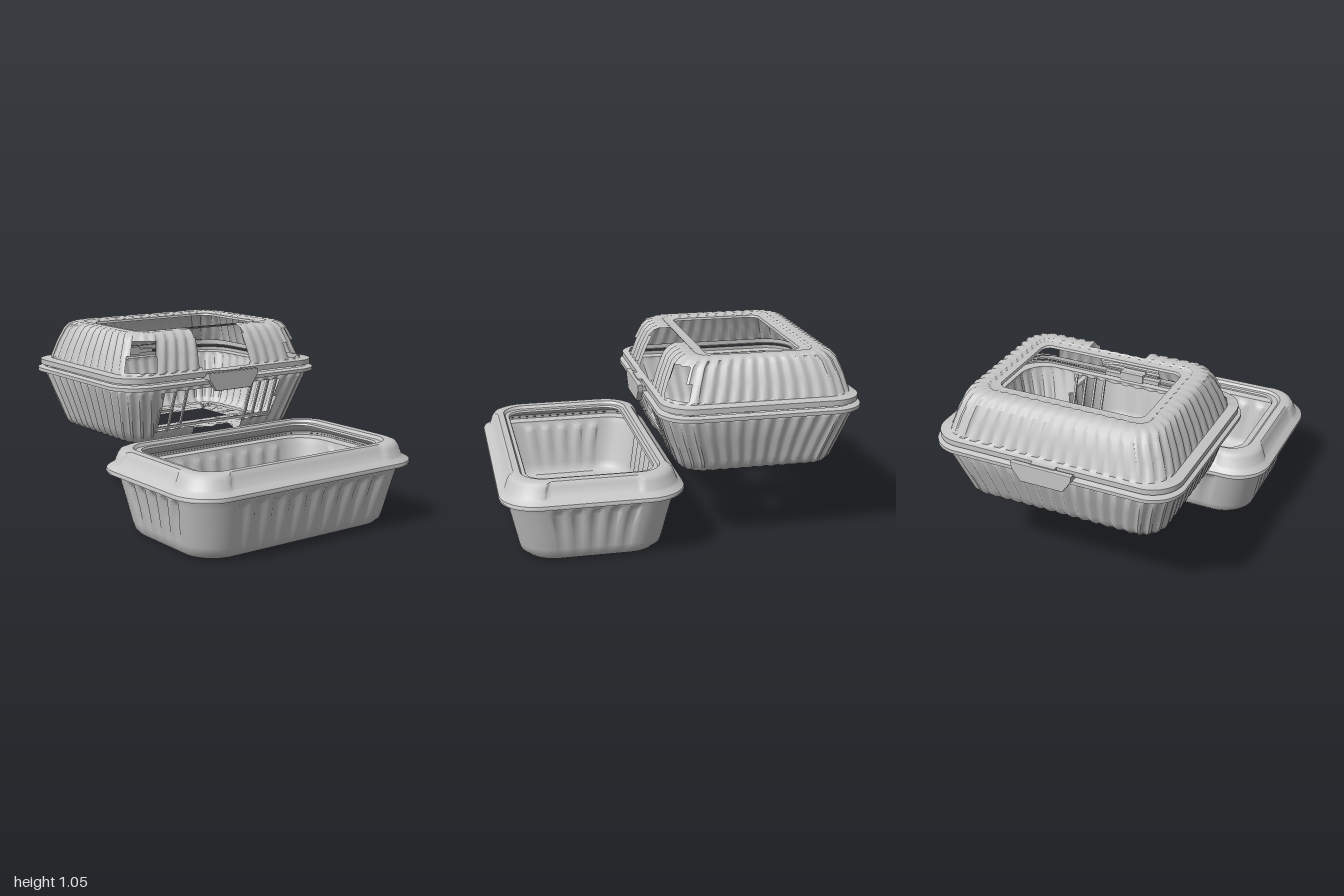
import * as THREE from 'three';
import { toCreasedNormals } from 'three/addons/utils/BufferGeometryUtils.js';

const plastic = new THREE.MeshStandardMaterial({ color: 0xc6c6c6, side: THREE.DoubleSide });
plastic.name = 'greyPlastic';

// Points and outward normals round a rounded rectangle
function outline(hx, hz, r, nX, nZ, nC) {
  const pts = [];
  const sx = hx - r, sz = hz - r;
  const corners = [[sx, -sz], [sx, sz], [-sx, sz], [-sx, -sz]];
  for (let s = 0; s < 4; s++) {
    const [ax, az] = corners[s], [bx, bz] = corners[(s + 1) % 4];
    const n = s % 2 ? nX : nZ, a0 = s * Math.PI / 2;
    const nx = Math.cos(a0), nz = Math.sin(a0);
    for (let i = 0; i < n; i++) {
      const t = i / n;
      pts.push({ x: ax + (bx - ax) * t + nx * r, z: az + (bz - az) * t + nz * r, nx, nz, i, corner: false });
    }
    for (let i = 0; i < nC; i++) {
      const a = a0 + i / nC * Math.PI / 2, c = Math.cos(a), d = Math.sin(a);
      pts.push({ x: bx + c * r, z: bz + d * r, nx: c, nz: d, i, corner: true });
    }
  }
  return pts;
}

// Skin through rings [y, halfX, halfZ, radius, ribDepth, offsetX, offsetZ, bump]
function loft(name, rings, counts, rib, skip = () => false) {
  const pos = [], index = [];
  let n = 0;
  rings.forEach(([y, hx, hz, r, depth = 0, ox = 0, oz = 0, bump = 0], k) => {
    const pts = outline(hx, hz, r, ...counts);
    n = pts.length;
    pts.forEach((p, j) => {
      const d = depth * rib(p);
      pos.push(p.x + p.nx * d + ox, y + bump * Math.sin(j * 0.9 + k * 2.1) * Math.sin(j * 0.37 + k), p.z + p.nz * d + oz);
    });
  });
  for (let k = 0; k < rings.length - 1; k++) {
    for (let j = 0; j < n; j++) {
      const a = k * n + j, c = k * n + (j + 1) % n, b = a + n, d = c + n;
      const mid = o => (pos[a * 3 + o] + pos[b * 3 + o] + pos[c * 3 + o] + pos[d * 3 + o]) / 4;
      if (!skip(mid(0), mid(1), mid(2))) index.push(a, b, c, c, b, d);
    }
  }
  const g = new THREE.BufferGeometry();
  g.setAttribute('position', new THREE.Float32BufferAttribute(pos, 3));
  g.setIndex(index);
  const m = new THREE.Mesh(toCreasedNormals(g, 0.7), plastic);
  m.name = name;
  return m;
}

function box(name, w, h, d, x, y, z, tilt = 0) {
  const m = new THREE.Mesh(new THREE.BoxGeometry(w, h, d), plastic);
  m.position.set(x, y, z);
  m.rotation.z = tilt;
  m.name = name;
  return m;
}

// Hanging clasp on the rim; side is +1 or -1
function clasp(side) {
  const g = new THREE.Group();
  g.name = side > 0 ? 'leftClasp' : 'rightClasp';
  const s = new THREE.Shape([[-0.17, 0.05], [-0.165, 0.02], [-0.12, -0.045], [0.12, -0.045], [0.165, 0.02], [0.17, 0.05]]
    .map(p => new THREE.Vector2(...p)));
  const flap = new THREE.Mesh(new THREE.ExtrudeGeometry(s, {
    depth: 0.02, bevelEnabled: true, bevelSize: 0.005, bevelThickness: 0.005, bevelSegments: 2 }), plastic);
  flap.name = 'claspFlap';
  flap.rotation.y = Math.PI / 2;
  flap.position.set(side * 0.575 - 0.01, 0.765, 0);
  g.add(flap,
    box('claspTop', 0.07, 0.025, 0.34, side * 0.55, 0.795, 0),
    box('claspCatch', 0.06, 0.05, 0.14, side * 0.54, 0.80, 0));
  return g;
}

// Ribbed box with a hinged, cut-open lid
function ribbedBox() {
  const g = new THREE.Group();
  g.name = 'ribbedContainer';
  const counts = [36, 52, 16];
  const rib = p => [0, 1, 1, 0][p.i % 4];
  const inGap = z => z > -0.17 && z < 0.17;

  g.add(loft('ribbedBase', [
    [0.445, 0.125, 0.30, 0.003, 0, -0.03, -0.015],
    [0.445, 0.18, 0.35, 0.02, 0, -0.02, -0.01, 0.006],
    [0.445, 0.23, 0.40, 0.04, 0, -0.01, 0, 0.007],
    [0.445, 0.30, 0.455, 0.06, 0, 0, 0, 0.006],
    [0.435, 0.35, 0.50, 0.09, 0.008],
    [0.432, 0.40, 0.545, 0.11, 0.01],
    [0.46, 0.425, 0.57, 0.13, 0.012],
    [0.50, 0.44, 0.585, 0.14, 0.012],
    [0.62, 0.485, 0.62, 0.15, 0.012],
    [0.73, 0.525, 0.655, 0.16, 0.01],
    [0.75, 0.53, 0.66, 0.16],
    [0.755, 0.56, 0.71, 0.18],
    [0.775, 0.56, 0.71, 0.18],
    [0.785, 0.53, 0.68, 0.17],
  ], counts, rib, (x, y, z) => x > 0.3 && y < 0.735
    && (inGap(z) || (y > 0.5 && z > -0.38 && z < 0.44))));

  // Thin slats across the open side
  for (const z of [0.44, 0.36, 0.28, -0.18, -0.24, -0.30, -0.36])
    g.add(box('slat', 0.012, 0.26, 0.012, 0.484, 0.615, z, -0.345));
  g.add(box('slatRail', 0.012, 0.014, 0.82, 0.447, 0.515, 0.03));

  g.add(loft('ribbedLid', [
    [0.795, 0.53, 0.68, 0.16],
    [0.795, 0.545, 0.695, 0.17],
    [0.825, 0.545, 0.695, 0.17],
    [0.832, 0.515, 0.64, 0.16],
    [0.845, 0.505, 0.63, 0.16, 0.01],
    [0.93, 0.475, 0.60, 0.15, 0.012],
    [1.01, 0.44, 0.565, 0.14, 0.012],
    [1.04, 0.41, 0.545, 0.13, 0.012],
    [1.052, 0.38, 0.515, 0.11, 0.012],
    [1.052, 0.325, 0.47, 0.07, 0.006],
    [1.043, 0.315, 0.46, 0.06],
    [1.043, 0.265, 0.42, 0.05],
    [1.03, 0.26, 0.415, 0.05],
  ], counts, rib, (x, y, z) => (x > 0.325 && y > 0.835 && inGap(z))
    || (x > 0.40 && Math.abs(z) > 0.46 && y > 0.84 && y < 1.01)));

  g.add(box('floorBead', 0.012, 0.012, 0.25, -0.20, 0.453, 0.01), clasp(1), clasp(-1));
  g.position.set(-0.405, 0, -0.065);
  return g;
}

// Deep tray with fluted walls and a framed lid
function tray() {
  const g = new THREE.Group();
  g.name = 'trayContainer';
  const counts = [30, 54, 12];
  const flute = p => p.corner ? 0 : [0, 0, -1, -1, -1, 0][p.i % 6];
  g.add(loft('trayBody', [
    [0, 0.004, 0.28, 0.002],
    [0, 0.32, 0.60, 0.15],
    [0.006, 0.36, 0.635, 0.17],
    [0.03, 0.385, 0.655, 0.18],
    [0.07, 0.395, 0.665, 0.18, 0.003],
    [0.18, 0.42, 0.688, 0.19, 0.01],
    [0.27, 0.44, 0.705, 0.19, 0.014],
    [0.295, 0.445, 0.71, 0.19, 0.009],
    [0.305, 0.447, 0.712, 0.19],
    [0.335, 0.455, 0.72, 0.19],
    [0.342, 0.495, 0.775, 0.21],
    [0.352, 0.495, 0.775, 0.21],
  ], counts, flute));

  // Lid sides step in between the corners
  const panel = p => p.corner || p.i < 2 ? 0 : -1;
  g.add(loft('trayLid', [
    [0.352, 0.497, 0.778, 0.21],
    [0.365, 0.495, 0.775, 0.21],
    [0.385, 0.468, 0.745, 0.19],
    [0.395, 0.46, 0.738, 0.19, 0.008],
    [0.44, 0.445, 0.722, 0.18, 0.016],
    [0.46, 0.43, 0.71, 0.17, 0.012],
    [0.468, 0.41, 0.69, 0.16],
    [0.468, 0.375, 0.645, 0.13],
    [0.452, 0.365, 0.63, 0.12],
    [0.452, 0.345, 0.597, 0.10],
    [0.44, 0.34, 0.592, 0.10],
  ], counts, panel));
  g.position.set(0.5, 0, -0.005);
  return g;
}

export function createModel() {
  const model = new THREE.Group();
  model.name = 'foodContainers';
  model.add(ribbedBox(), tray());
  return model;
}
